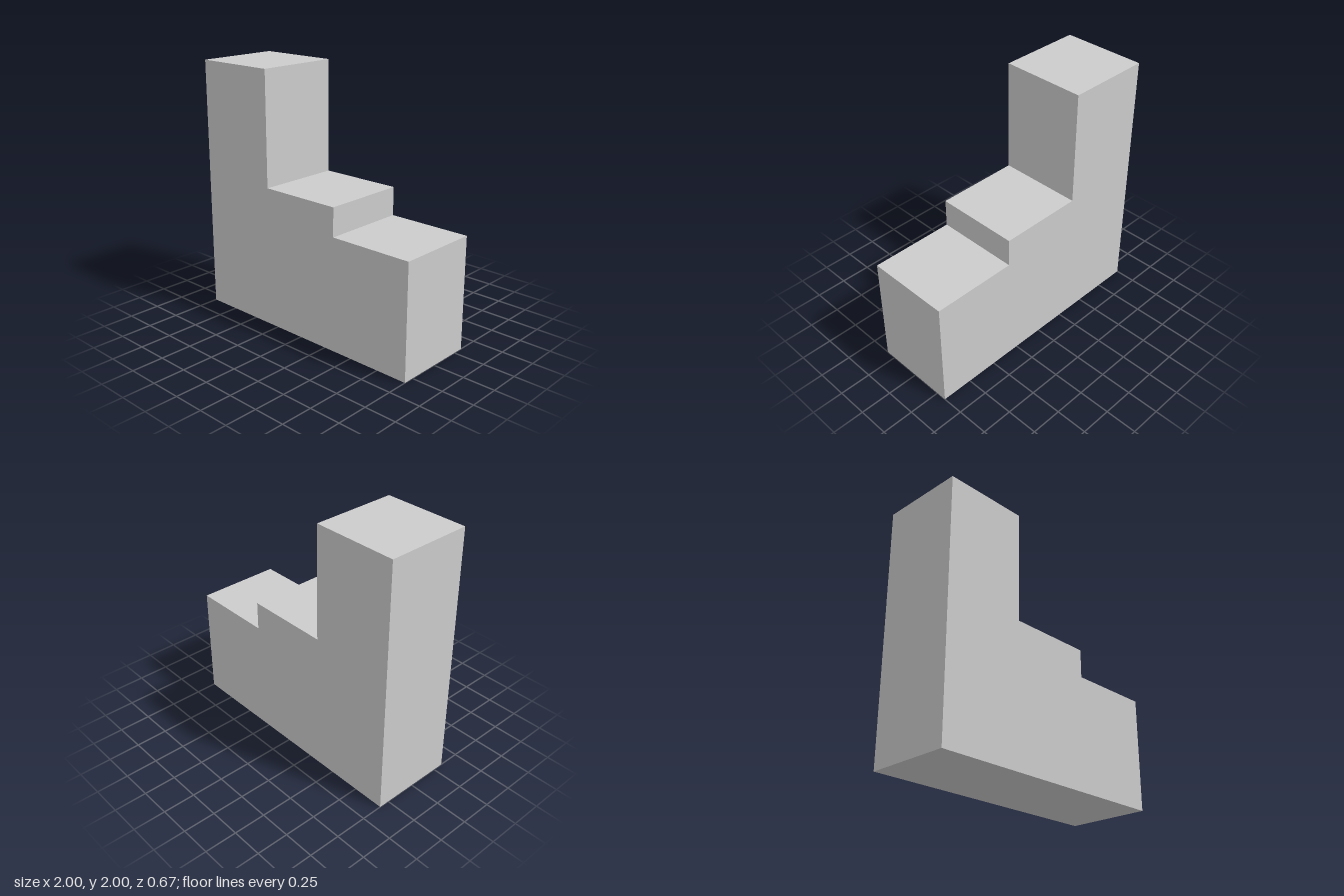
import * as THREE from 'three';

export function createModel() {
  const group = new THREE.Group();
  group.name = 'steppedBlock';
  const material = new THREE.MeshStandardMaterial({ color: 0xcccccc, flatShading: true });

  // Stepped outline: three equal-width columns, tallest on the model's right
  const step = 2 / 3;
  const heights = [2, 10 / 9, 8 / 9];
  const outline = [new THREE.Vector2(-1, 0), new THREE.Vector2(1, 0)];
  for (let i = heights.length - 1; i >= 0; i--) {
    const left = -1 + i * step;
    outline.push(new THREE.Vector2(left + step, heights[i]), new THREE.Vector2(left, heights[i]));
  }

  // One solid body, extruded front to back and centred in z
  const geometry = new THREE.ExtrudeGeometry(new THREE.Shape(outline), {
    depth: step,
    bevelEnabled: false,
  });
  geometry.translate(0, 0, -step / 2);

  const body = new THREE.Mesh(geometry, material);
  body.name = 'steppedBody';
  group.add(body);
  return group;
}
